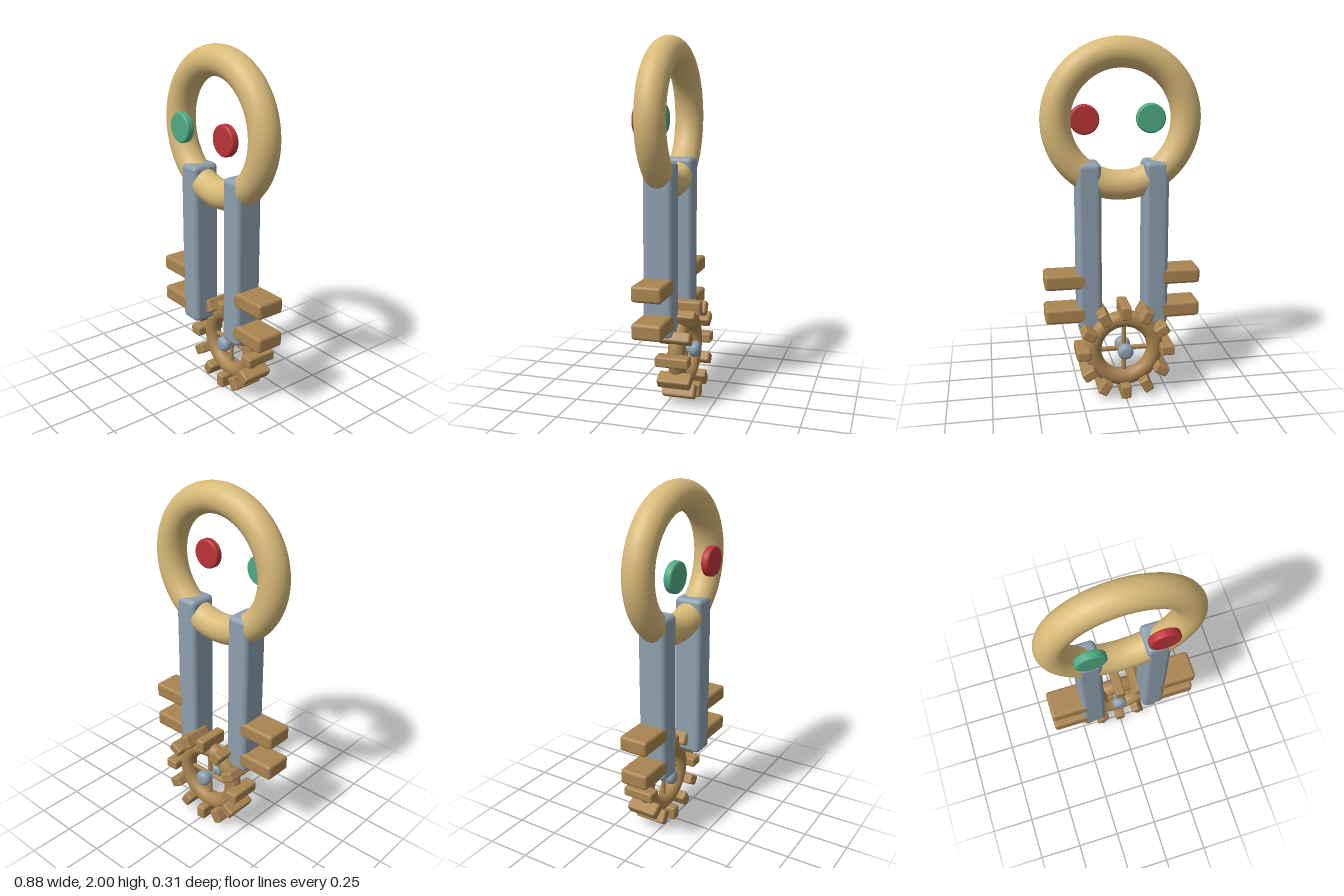
import * as THREE from 'three';
import { RoundedBoxGeometry } from 'three/addons/geometries/RoundedBoxGeometry.js';

const material = (name, color) => {
  const m = new THREE.MeshStandardMaterial({ color });
  m.name = name;
  return m;
};

export function createModel() {
  const gold = material('gold', 0xd8b978);
  const bronze = material('bronze', 0xa98450);
  const steel = material('steel', 0x8d9fae);
  const green = material('green', 0x4fab84);
  const red = material('red', 0xbb3438);

  const model = new THREE.Group();
  model.name = 'ringAndGear';

  const add = (parent, name, geometry, mat, x = 0, y = 0, z = 0) => {
    const mesh = new THREE.Mesh(geometry, mat);
    mesh.name = name;
    mesh.position.set(x, y, z);
    parent.add(mesh);
    return mesh;
  };

  // Solid of revolution about z with a rounded rim
  const roundedDisc = (radius, depth, round) => {
    const points = [new THREE.Vector2(0, -depth / 2)];
    for (const side of [-1, 1]) {
      for (let i = 0; i <= 6; i++) {
        const a = (side < 0 ? i / 6 - 1 : i / 6) * Math.PI / 2;
        points.push(new THREE.Vector2(
          radius - round + round * Math.cos(a),
          side * (depth / 2 - round) + round * Math.sin(a)));
      }
    }
    points.push(new THREE.Vector2(0, depth / 2));
    return new THREE.LatheGeometry(points, 40).rotateX(Math.PI / 2);
  };

  // Large ring
  const midZ = 0.021;
  add(model, 'ring', new THREE.TorusGeometry(0.356, 0.082, 32, 96), gold, 0, 1.562, midZ);

  // Twin shafts, side prongs and coloured buttons
  for (const side of [-1, 1]) {
    const label = side > 0 ? 'left' : 'right';
    add(model, label + 'Shaft', new RoundedBoxGeometry(0.135, 0.945, 0.165, 4, 0.028),
      steel, side * 0.187, 0.869, midZ);
    [0.682, 0.484].forEach((y, i) => {
      add(model, label + 'Prong' + (i + 1), new RoundedBoxGeometry(0.238, 0.088, 0.165, 4, 0.018),
        bronze, side * 0.319, y, midZ);
    });
    add(model, label + 'Button', roundedDisc(0.083, 0.045, 0.012),
      side > 0 ? red : green, side * 0.187, 1.553, 0.131);
  }

  // Gear wheel
  const gear = new THREE.Group();
  gear.name = 'gear';
  gear.position.set(0, 0.277, -0.063);
  model.add(gear);
  add(gear, 'gearRim', new THREE.TorusGeometry(0.177, 0.047, 24, 72), bronze);

  const toothGeometry = new RoundedBoxGeometry(0.058, 0.08, 0.186, 3, 0.012);
  for (let i = 0; i < 12; i++) {
    const a = i * Math.PI / 6;
    const tooth = add(gear, 'gearTooth' + (i + 1), toothGeometry, bronze,
      -Math.sin(a) * 0.237, Math.cos(a) * 0.237, 0);
    tooth.rotation.z = a;
  }

  // Crossed spokes
  for (const a of [0, Math.PI / 2]) {
    const spoke = add(gear, a ? 'crossSpoke' : 'uprightSpoke',
      new THREE.CylinderGeometry(0.013, 0.013, 0.34, 16), bronze);
    spoke.rotation.z = a;
  }

  // Axle with a rounded knob at each end
  const axle = add(gear, 'axle', new THREE.CylinderGeometry(0.026, 0.026, 0.12, 24), steel);
  axle.rotation.x = Math.PI / 2;
  for (const side of [-1, 1]) {
    add(gear, side > 0 ? 'frontKnob' : 'backKnob', roundedDisc(0.045, 0.064, 0.028),
      steel, 0, 0, side * 0.055);
  }

  return model;
}
